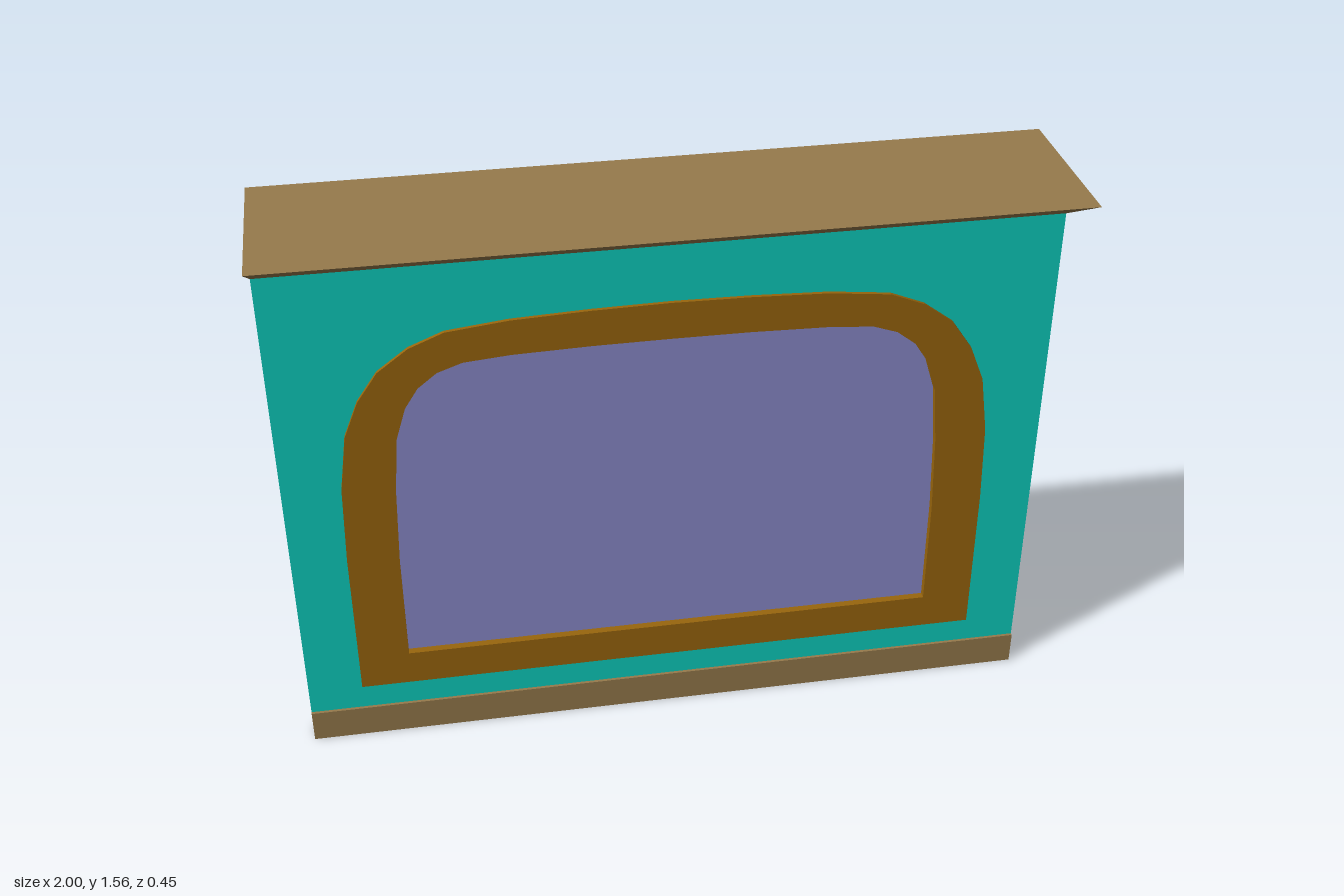
import * as THREE from 'three';

const WOOD = 0x967a4c, WALL = 0x0dcfbf, FRAME = 0x99660d, GLASS = 0x8b8bcc;

// Right half of each arch, from bottom corner to crown
const OUTER = [[0.855, 0.17], [0.855, 0.6], [0.848, 0.82], [0.825, 0.98], [0.785, 1.08], [0.73, 1.16],
  [0.65, 1.22], [0.56, 1.257], [0.4, 1.275], [0.2, 1.283], [0, 1.286]];
const INNER = [[0.72, 0.27], [0.72, 0.58], [0.712, 0.8], [0.698, 0.96], [0.67, 1.05], [0.635, 1.105],
  [0.585, 1.145], [0.52, 1.168], [0.4, 1.178], [0.2, 1.183], [0, 1.184]];

// Mirror a half outline into a closed ring
function mirrored(half) {
  const left = half.slice(0, -1).reverse().map(([x, y]) => [-x, y]);
  return [...half, ...left].map(([x, y]) => new THREE.Vector2(x, y));
}

// Slab of a given depth centred on z = 0
function slab(outline, hole, depth) {
  const shape = new THREE.Shape(outline);
  if (hole) shape.holes.push(new THREE.Path(hole));
  return new THREE.ExtrudeGeometry(shape, { depth, bevelEnabled: false }).translate(0, 0, -depth / 2);
}

export function createModel() {
  const group = new THREE.Group();
  const add = (name, geometry, color) => {
    const mesh = new THREE.Mesh(geometry, new THREE.MeshStandardMaterial({ color }));
    mesh.name = name;
    group.add(mesh);
  };
  const outer = mirrored(OUTER), inner = mirrored(INNER);

  // Wall panel with the window opening
  const panel = [[-1, 0.09], [1, 0.09], [1, 1.44], [-1, 1.44]].map(([x, y]) => new THREE.Vector2(x, y));
  add('wallPanel', slab(panel, outer, 0.04), WALL);

  // Window frame and recessed pane
  add('windowFrame', slab(outer, inner, 0.06), FRAME);
  add('windowPane', slab(inner, null, 0.02), GLASS);

  // Base rail
  add('baseRail', new THREE.BoxGeometry(2, 0.092, 0.056).translate(0, 0.046, 0), WOOD);

  // Flared cornice: trapezoid swept along x
  const profile = [[-0.02, 1.44], [0.02, 1.44], [0.226, 1.558], [-0.226, 1.558]]
    .map(([z, y]) => new THREE.Vector2(z, y));
  add('cornice', slab(profile, null, 2).rotateY(Math.PI / 2), WOOD);

  return group;
}
